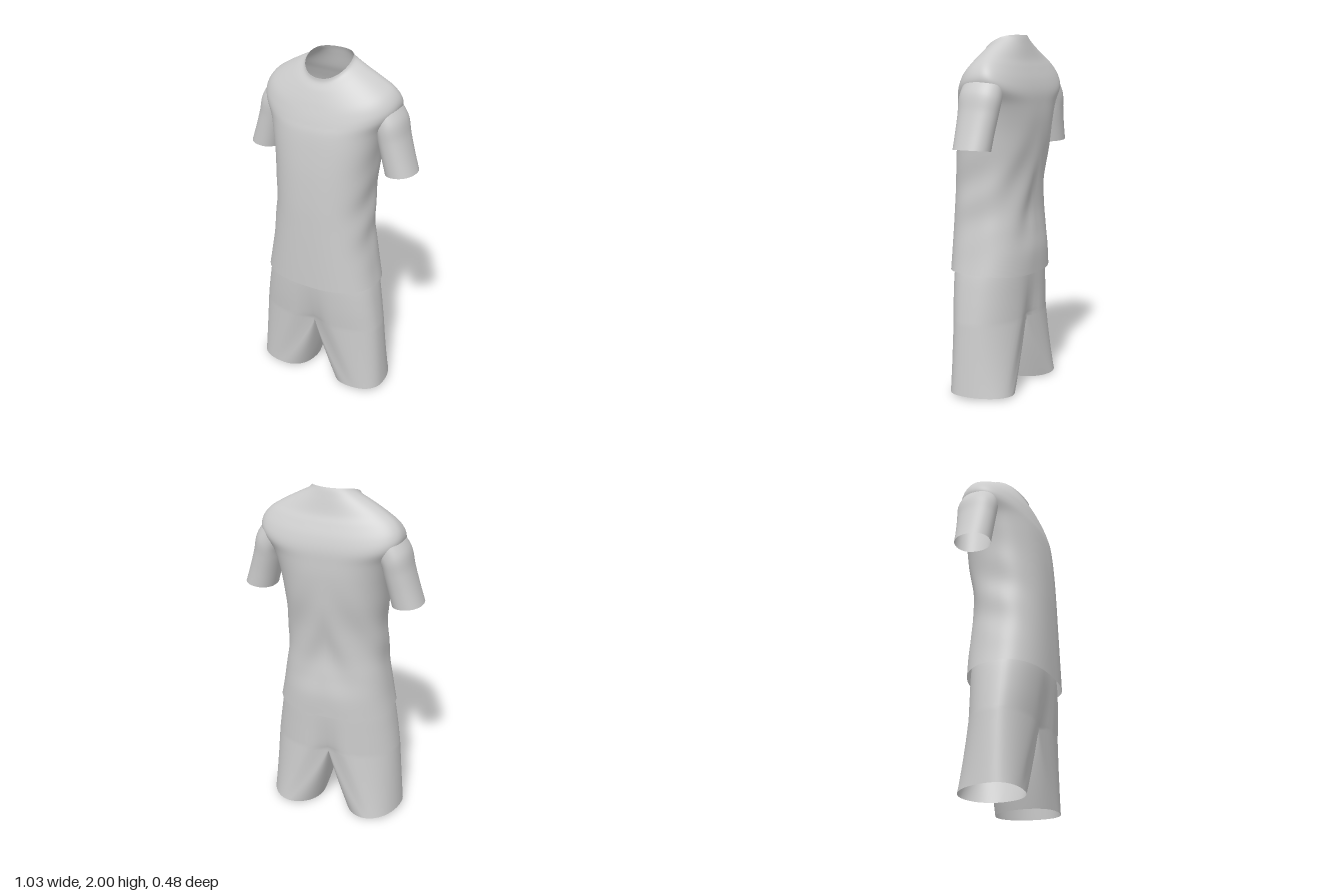
import * as THREE from 'three';
import { mergeGeometries, mergeVertices } from 'three/addons/utils/BufferGeometryUtils.js';

const TAU = Math.PI * 2;
const lerp = THREE.MathUtils.lerp;

// Smooth (Catmull-Rom) interpolation through rows of section parameters, t in 0..1
function sample(keys, t) {
  const f = t * (keys.length - 1);
  const i = Math.min(Math.floor(f), keys.length - 2), u = f - i;
  const p = (k) => keys[Math.max(0, Math.min(keys.length - 1, k))];
  return keys[i].map((b, c) => {
    const a = p(i - 1)[c], d = p(i + 1)[c], e = p(i + 2)[c];
    return b + 0.5 * u * (d - a + u * (2 * a - 5 * b + 4 * d - e + u * (3 * (b - d) + e - a)));
  });
}

// Skin between closed rings, listed bottom to top; side = -1 mirrors in x
function loft(rings, side = 1) {
  const n = rings[0].length, pos = [], idx = [];
  for (const ring of rings) for (const [x, y, z] of ring) pos.push(x * side, y, z);
  for (let i = 0; i < rings.length - 1; i++) {
    for (let j = 0; j < n; j++) {
      const a = i * n + j, b = i * n + (j + 1) % n, c = a + n, d = b + n;
      if (side > 0) idx.push(a, c, b, b, c, d);
      else idx.push(a, b, c, b, d, c);
    }
  }
  const g = new THREE.BufferGeometry();
  g.setAttribute('position', new THREE.Float32BufferAttribute(pos, 3));
  g.setIndex(idx);
  g.computeVertexNormals();
  return g;
}

const spow = (v, n) => Math.sign(v) * Math.abs(v) ** (2 / n);

// Body section: half width, front y, back y, side lift, front z, back z, widest z,
// squareness of the front half and of the back half
function bodyPoint([hw, yF, yB, lift, zf, zb, zc, nf, nb], a) {
  const n = Math.sin(a) > 0 ? nf : nb;
  const s = spow(Math.sin(a), n), x = hw * spow(Math.cos(a), n);
  const z = zc + s * (s > 0 ? zf - zc : zc - zb);
  const y = lerp(yF, yB, (zf - z) / (zf - zb)) + lift * Math.cos(a) ** 2;
  return [x, y, z];
}

const TORSO = [
  [0.340, 0.69, 0.675, 0.015, 0.243, -0.222, 0.02, 2.5, 2.4],
  [0.320, 0.80, 0.80, 0, 0.243, -0.222, 0.02, 2.5, 2.4],
  [0.300, 0.92, 0.92, 0, 0.242, -0.207, 0.02, 2.5, 2.5],
  [0.286, 1.05, 1.05, 0, 0.240, -0.197, 0.01, 2.5, 2.5],
  [0.280, 1.20, 1.20, 0, 0.236, -0.205, 0, 2.5, 2.5],
  [0.290, 1.38, 1.38, 0, 0.225, -0.230, -0.01, 2.5, 2.5],
  [0.310, 1.52, 1.52, 0, 0.210, -0.240, -0.02, 2.5, 2.6],
  [0.340, 1.61, 1.62, 0.02, 0.196, -0.240, -0.04, 2.4, 2.8],
  [0.390, 1.66, 1.69, 0.045, 0.182, -0.236, -0.06, 2.2, 3.1],
  [0.396, 1.70, 1.755, 0.045, 0.169, -0.219, -0.065, 2.15, 2.9],
  [0.362, 1.74, 1.82, 0.045, 0.154, -0.192, -0.06, 2.2, 2.6],
  [0.298, 1.78, 1.87, 0.045, 0.138, -0.170, -0.05, 2.2, 2.4],
  [0.200, 1.83, 1.94, 0.04, 0.115, -0.150, -0.03, 2.2, 2.2],
  [0.146, 1.868, 1.98, 0.03, 0.093, -0.138, -0.022, 2.2, 2.2],
  [0.130, 1.89, 2.00, 0.025, 0.089, -0.130, -0.02, 2.2, 2.2],
];

// Shirt body with soft diagonal folds, strongest across the lower back
function torsoGeometry() {
  const rings = [];
  for (let i = 0; i <= 84; i++) {
    const row = sample(TORSO, i / 84);
    rings.push(Array.from({ length: 96 }, (_, j) => {
      const a = j / 96 * TAU, p = bodyPoint(row, a);
      const w = Math.exp(-(((p[1] - 1.14) / 0.25) ** 2));
      const back = Math.max(0, -Math.sin(a)), flank = Math.cos(a) ** 4;
      p[2] += 0.008 * w * back * Math.sin(26 * Math.abs(p[0]) + 13 * p[1]);
      p[0] += Math.sign(p[0]) * 0.005 * w * flank * Math.sin(24 * p[1] + 12 * p[2]);
      return p;
    }));
  }
  return loft(rings);
}

// Sleeve section: outer x, outer y, inner x, inner y, half depth, centre z
const SLEEVE = [
  [0.516, 1.403, 0.345, 1.385, 0.104, -0.063],
  [0.484, 1.50, 0.323, 1.47, 0.108, -0.065],
  [0.454, 1.60, 0.302, 1.55, 0.114, -0.068],
  [0.429, 1.70, 0.290, 1.60, 0.120, -0.070],
  [0.372, 1.785, 0.270, 1.64, 0.116, -0.070],
];

function sleeveGeometry(side) {
  const rings = [];
  for (let i = 0; i <= 28; i++) {
    const [xo, yo, xi, yi, rz, cz] = sample(SLEEVE, i / 28);
    rings.push(Array.from({ length: 48 }, (_, j) => {
      const a = j / 48 * TAU, k = (1 - spow(Math.cos(a), 2.2)) / 2;
      return [lerp(xo, xi, k), lerp(yo, yi, k), cz + rz * spow(Math.sin(a), 2.2)];
    }));
  }
  return loft(rings, side);
}

const PELVIS = [
  [0.376, 0.42, 0.42, 0, 0.192, -0.200, 0.03, 2.5, 2.2],
  [0.358, 0.55, 0.55, 0, 0.204, -0.200, 0.03, 2.5, 2.25],
  [0.332, 0.70, 0.70, 0, 0.212, -0.200, 0.025, 2.5, 2.3],
  [0.295, 0.82, 0.82, 0, 0.208, -0.190, 0.02, 2.5, 2.4],
  [0.270, 0.93, 0.93, 0, 0.200, -0.175, 0.01, 2.5, 2.4],
];

// Hip point, dented along the centre seam towards the crotch
function pelvisPoint(t, a) {
  const p = bodyPoint(sample(PELVIS, t), a);
  p[2] *= 1 - 0.22 * (1 - t) ** 3 * Math.exp(-((p[0] / 0.07) ** 2));
  return p;
}

// Hips and two open legs, welded so the cloth shades smoothly
function shortsGeometry() {
  const N = 64, half = N / 2, inner = 24;
  const hips = [];
  for (let i = 0; i <= 24; i++) {
    hips.push(Array.from({ length: N }, (_, j) => pelvisPoint(i / 24, j / N * TAU)));
  }

  // Leg top: outer half of the hip ring, closed by the crotch line at x = 0
  const top = [], hem = [];
  const front = pelvisPoint(0, Math.PI / 2)[2], rear = pelvisPoint(0, -Math.PI / 2)[2];
  for (let j = 0; j < half + inner; j++) {
    const out = j <= half, k = (j - half) / inner;
    const a = out ? (j / half - 0.5) * Math.PI : (k + 0.5) * Math.PI;
    if (out) top.push(pelvisPoint(0, a));
    else {
      const sag = 0.05 * Math.sin(k * Math.PI) ** 0.5;
      top.push([0, 0.42 - sag, lerp(front, rear, (1 - Math.cos(k * Math.PI)) / 2)]);
    }
    // Hem opening, widest ahead of centre and rounder at the outer back
    const s = Math.sin(a), n = s > 0 ? 2.4 : 2, c = spow(Math.cos(a), n);
    const widest = out ? 0.03 : -0.02;
    const z = lerp(widest, s > 0 ? 0.16 : -0.2, Math.abs(spow(s, n)));
    hem.push([(out ? 0.24 : 0.246) + (out ? 0.165 : 0.16) * c, 0.009 + 0.008 * c, z]);
  }

  // Inner walls stay close together below the crotch, then flare to the hem
  const leg = [];
  for (let i = 0; i <= 24; i++) {
    const t = i / 24, flare = 1 - (1 - t) ** 1.4;
    leg.push(hem.map(([x, y, z], j) => {
      const q = top[j], inside = THREE.MathUtils.smoothstep(0.3 - x, 0, 0.2);
      return [lerp(x, q[0], lerp(t, flare, inside)), lerp(y, q[1], t), lerp(z, q[2], t)];
    }));
  }

  const parts = [loft(hips), loft(leg), loft(leg, -1)];
  parts.forEach((g) => g.deleteAttribute('normal'));
  const g = mergeVertices(mergeGeometries(parts), 1e-4);
  g.computeVertexNormals();
  return g;
}

export function createModel() {
  const fabric = new THREE.MeshStandardMaterial({ color: 0xcccccc, side: THREE.DoubleSide });
  fabric.name = 'grey fabric';
  const model = new THREE.Group();
  model.name = 'shirtAndShorts';
  const add = (name, geometry) => {
    const mesh = new THREE.Mesh(geometry, fabric);
    mesh.name = name;
    model.add(mesh);
  };
  add('shirtBody', torsoGeometry());
  add('leftSleeve', sleeveGeometry(1));
  add('rightSleeve', sleeveGeometry(-1));
  add('shorts', shortsGeometry());
  return model;
}
